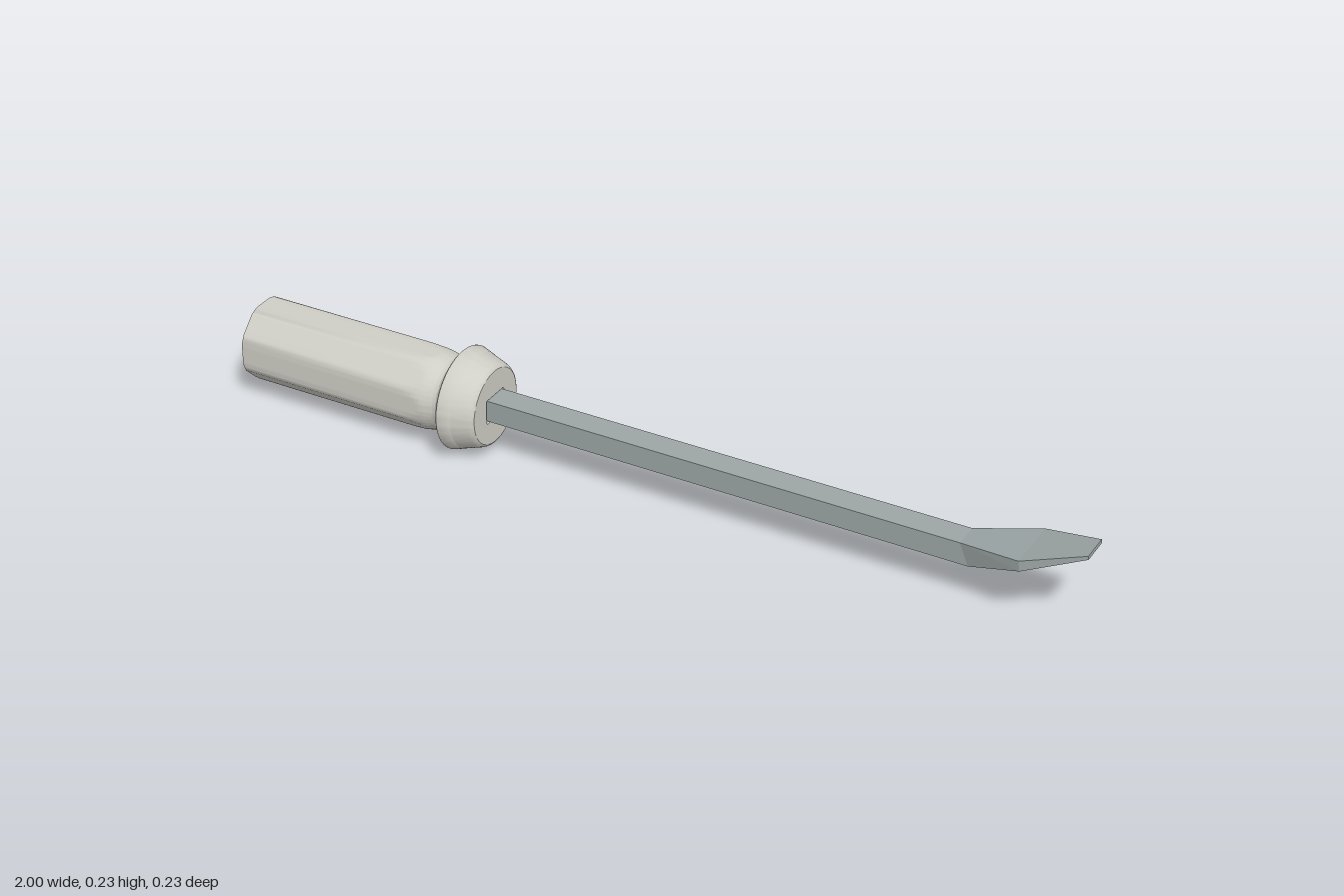
import * as THREE from 'three';
import { toCreasedNormals, mergeVertices } from 'three/addons/utils/BufferGeometryUtils.js';

const AXIS_Y = 0.117;
const FLAT = 0.088; // distance of the grip flats from the axis

const gripMaterial = new THREE.MeshStandardMaterial({ color: 0xcfcec6 });
const steelMaterial = new THREE.MeshStandardMaterial({ color: 0x9ca5a5 });

function addMesh(group, name, geometry, material) {
  const mesh = new THREE.Mesh(geometry, material);
  mesh.name = name;
  group.add(mesh);
  return mesh;
}

// Lathe around the x axis from [x, radius] pairs
function turned(profile, segments = 96) {
  const points = profile.map(([x, r]) => new THREE.Vector2(r, x));
  return new THREE.LatheGeometry(points, segments).rotateZ(-Math.PI / 2);
}

// Smooth curve through [x, radius] pairs
function smooth(pairs, count) {
  const curve = new THREE.SplineCurve(pairs.map(([x, r]) => new THREE.Vector2(x, r)));
  return curve.getPoints(count).map((p) => [p.x, p.y]);
}

// Round grip cut by eight flats that run out into the neck
function gripGeometry() {
  const geometry = turned([
    [-0.965, 0], [-0.965, 0.091], [-0.962, 0.093],
    ...smooth([[-0.56, 0.093], [-0.53, 0.0918], [-0.505, 0.088], [-0.485, 0.0825], [-0.472, 0.081],
      [-0.463, 0.088], [-0.455, 0.102], [-0.45, 0.112]], 36),
    [-0.447, 0.115], [-0.443, 0.1155], [-0.42, 0.108], [-0.417, 0.105], [-0.417, 0],
  ]);
  const pos = geometry.attributes.position;
  const step = Math.PI / 4;
  for (let i = 0; i < pos.count; i++) {
    if (pos.getX(i) > -0.475) continue;
    const y = pos.getY(i), z = pos.getZ(i), r = Math.hypot(y, z);
    if (r < 1e-6) continue;
    const angle = Math.atan2(z, y);
    const offset = angle - Math.round(angle / step) * step;
    const k = Math.min(1, FLAT / Math.cos(offset) / r);
    pos.setY(i, y * k);
    pos.setZ(i, z * k);
  }
  return toCreasedNormals(geometry, 0.6);
}

// Front face of the collar with a rounded slot for the bar
function slotFaceGeometry() {
  const shape = new THREE.Shape().absarc(0, 0, 0.086, 0, Math.PI * 2);
  const w = 0.036, h = 0.029, c = 0.006;
  const slot = new THREE.Path();
  slot.moveTo(-w + c, -h);
  slot.lineTo(w - c, -h);
  slot.quadraticCurveTo(w, -h, w, -h + c);
  slot.lineTo(w, h - c);
  slot.quadraticCurveTo(w, h, w - c, h);
  slot.lineTo(-w + c, h);
  slot.quadraticCurveTo(-w, h, -w, h - c);
  slot.lineTo(-w, -h + c);
  slot.quadraticCurveTo(-w, -h, -w + c, -h);
  shape.holes.push(slot);
  const geometry = new THREE.ExtrudeGeometry(shape, { depth: 0.045, bevelEnabled: false, curveSegments: 48 });
  return geometry.rotateY(Math.PI / 2).translate(-0.415, 0, 0);
}

// Bar with a bent, spade-shaped tip, skinned over four-cornered sections
function barGeometry() {
  // [x of bottom, x of top, bottom y, top y, half width]
  const sections = [
    [-0.96, -0.96, 0.094, 0.144, 0.03],
    [0.748, 0.728, 0.094, 0.144, 0.03],
    [0.872, 0.868, 0.145, 0.168, 0.066],
    [1, 0.999, 0.196, 0.204, 0.034],
  ];
  const vertices = [], index = [];
  for (const [xb, xt, yb, yt, w] of sections) {
    vertices.push(xb, yb, w, xb, yb, -w, xt, yt, -w, xt, yt, w);
  }
  for (let s = 0; s < sections.length - 1; s++) {
    for (let k = 0; k < 4; k++) {
      const a = s * 4 + k, b = s * 4 + (k + 1) % 4;
      index.push(a, b, b + 4, a, b + 4, a + 4);
    }
  }
  const e = (sections.length - 1) * 4;
  index.push(0, 2, 1, 0, 3, 2, e, e + 1, e + 2, e, e + 2, e + 3);
  const geometry = new THREE.BufferGeometry();
  geometry.setAttribute('position', new THREE.Float32BufferAttribute(vertices, 3));
  geometry.setIndex(index);
  return toCreasedNormals(mergeVertices(geometry), 0.05);
}

export function createModel() {
  const model = new THREE.Group();
  model.name = 'pryBar';

  // Handle
  const handle = new THREE.Group();
  handle.name = 'handle';
  handle.position.y = AXIS_Y;
  model.add(handle);
  addMesh(handle, 'grip', gripGeometry(), gripMaterial);

  // Tapered collar with a rounded front edge
  const collar = turned([
    [-0.417, 0.1], [-0.417, 0.1065], [-0.383, 0.0955], [-0.377, 0.093], [-0.372, 0.0895], [-0.37, 0.086],
  ]);
  addMesh(handle, 'collar', toCreasedNormals(collar, 0.6), gripMaterial);
  addMesh(handle, 'collarFace', slotFaceGeometry(), gripMaterial);

  // Domed striking cap at the butt
  const cap = turned([
    [-1, 0], [-0.999, 0.015], [-0.996, 0.028], [-0.99, 0.039], [-0.982, 0.047], [-0.975, 0.05], [-0.96, 0.05],
  ], 48);
  addMesh(handle, 'strikingCap', cap, steelMaterial);

  // Bar and tip
  addMesh(model, 'bar', barGeometry(), steelMaterial);

  return model;
}
